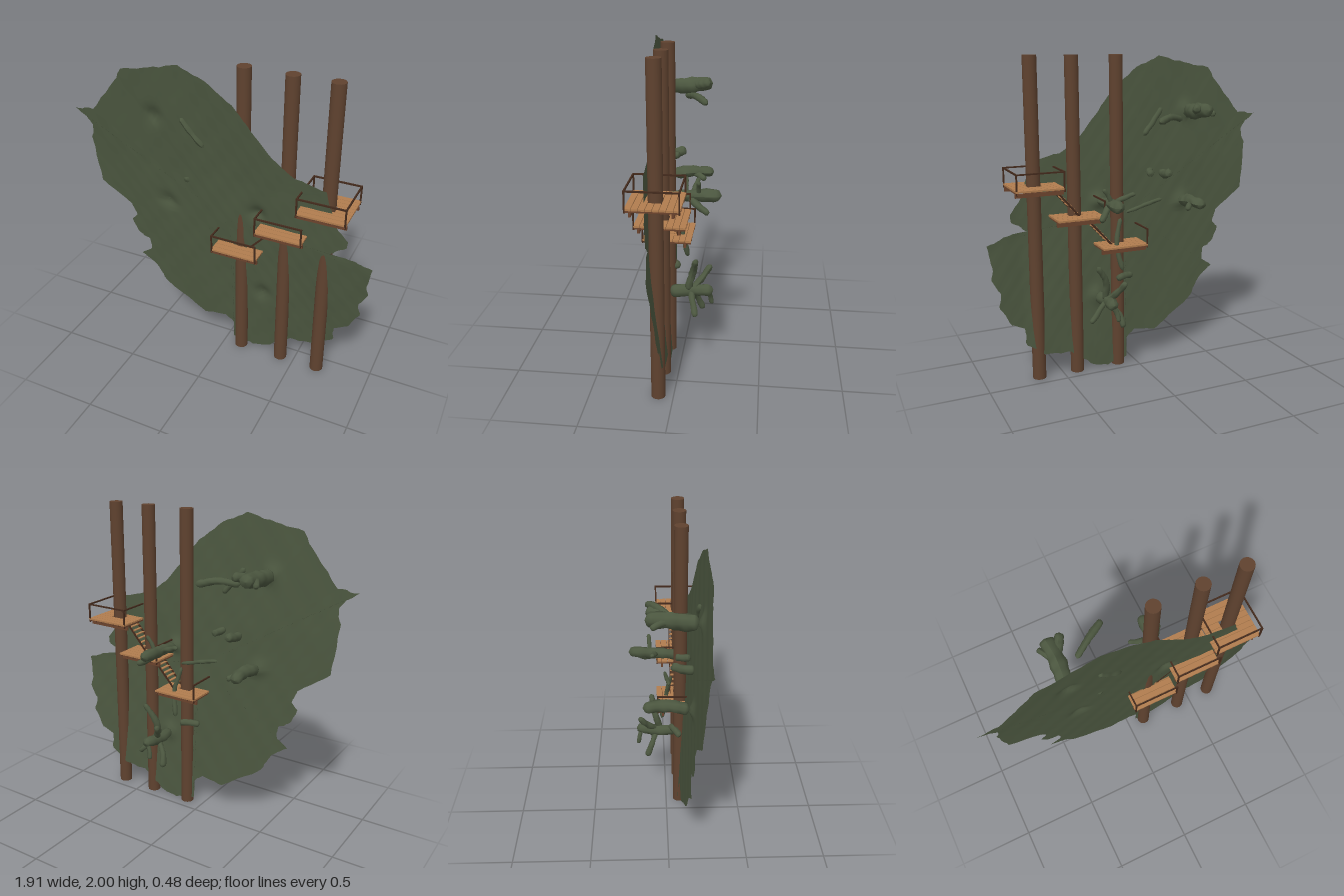
import * as THREE from 'three';

const mat = (name, color, side = THREE.FrontSide) => {
  const m = new THREE.MeshStandardMaterial({ color, side });
  m.name = name;
  return m;
};
const moss = mat('moss green', 0x4b563f, THREE.DoubleSide);
const bark = mat('trunk brown', 0x5f422f);
const plank = mat('plank tan', 0xb07c4e);
const beam = mat('beam brown', 0x6b432d);
const rail = mat('rail dark brown', 0x432a1c);

const noise = (x, y, z = 0) =>
  (Math.sin(x * 13.1 + y * 7.3 + z * 5) + Math.sin(x * 29.7 - y * 23.9 + z * 17) * 0.6 +
    Math.sin(x * 61 + y * 47 - z * 41) * 0.35) / 2;

// Main corners of the ground sheet, clockwise from the top, in hundredths (x, y)
const OUTLINE = [
  -23, 199, -7, 192, 9, 180, 20, 166, 33, 151, 47, 141, 66, 137, 71, 118, 80, 106, 79, 101,
  70, 95, 85, 93, 95.5, 89, 93, 76, 94, 68, 89, 60, 90, 50, 83, 38.5, 75, 35, 74, 24,
  62, 16, 46, 15, 32, 4, 20, 0.5, 6, 4, 9, 14, 0, 21.5, -15, 19, -43, 38, -50, 50,
  -60, 57, -53, 61, -53, 70, -60, 74, -65, 84, -61, 88, -64, 96, -84, 110, -87, 139, -85, 150,
  -89, 156, -96, 160, -83, 161, -65, 183, -60, 191, -42, 194.5,
];

// Stumps on the back of the sheet: x, y, tip z, radius
const STUMPS = [
  [-0.42, 1.64, -0.13, 0.045], [-0.37, 1.05, -0.15, 0.038], [0.23, 1.1, -0.24, 0.034], [0.26, 0.49, -0.2, 0.035],
];

// Boughs: stump number, z where it leaves the stump, tip x, y, z, radius
const BOUGHS = [
  [0, 0, -0.33, 1.68, -0.12, 0.025], [0, 0, -0.47, 1.63, -0.1, 0.02], [1, 0, -0.29, 1.04, -0.1, 0.018],
  [2, -0.04, 0.33, 1.04, -0.17, 0.02], [2, -0.06, 0.07, 1.17, -0.09, 0.015], [2, -0.1, 0.29, 1.22, -0.11, 0.014],
  [3, -0.06, 0.17, 0.33, -0.13, 0.02], [3, -0.06, 0.38, 0.38, -0.1, 0.017], [3, -0.17, 0.23, 0.4, -0.19, 0.016],
  [3, -0.04, 0.33, 0.74, -0.1, 0.021], [3, -0.06, 0.17, 0.64, -0.18, 0.02],
];

// Loose logs: both ends and radius
const LOGS = [
  [-0.3, 1.6, 0.03, -0.08, 1.6, -0.12, 0.022], [-0.24, 1.66, 0.185, -0.1, 1.49, 0.165, 0.017],
  [-0.16, 1.1, 0.01, 0.1, 1.04, -0.01, 0.012], [-0.13, 1.27, 0.14, -0.1, 1.26, 0.05, 0.023],
  [-0.23, 1.24, 0.16, -0.22, 1.26, 0.02, 0.027], [0.12, 1.0, 0.03, 0.13, 0.67, -0.03, 0.015],
  [0.02, 0.6, 0.09, 0.14, 0.6, 0.03, 0.023],
];

// Depth of the sheet, which puckers at the stump bases
function sheetZ(x, y) {
  const right = Math.max(0, x - 0.12);
  const dy = y - (1.08 - 0.27 * right);
  let z = 0.132 + dy * (dy < 0 ? 0.054 + 0.09 * right : 0.054);
  z += 0.035 * Math.max(0, 0.12 - x) + 0.03 * Math.max(0, y - 1.3) - 0.15 * Math.max(0, x - 0.74);
  for (const [sx, sy] of STUMPS) z -= 0.03 * Math.exp(-((x - sx) ** 2 + (y - sy) ** 2) / 0.002);
  return z + 0.003 * noise(x, y);
}

function groundSheet() {
  const n = OUTLINE.length / 2, sub = 5, rings = 36, cx = 0.05, cy = 1.0;
  const edge = [];
  for (let i = 0; i < n; i++) {
    const j = (i + 1) % n;
    for (let k = 0; k < sub; k++) {
      const t = k / sub, ragged = k ? 0.008 : 0;
      const x = THREE.MathUtils.lerp(OUTLINE[2 * i], OUTLINE[2 * j], t) / 100;
      const y = THREE.MathUtils.lerp(OUTLINE[2 * i + 1], OUTLINE[2 * j + 1], t) / 100;
      edge.push([x + ragged * noise(y * 3, x * 3), y + ragged * noise(x * 3, y * 3)]);
    }
  }
  const pos = [], idx = [], m = edge.length;
  for (let r = 0; r <= rings; r++) {
    for (const [ex, ey] of edge) {
      const x = cx + (ex - cx) * r / rings, y = cy + (ey - cy) * r / rings;
      pos.push(x, y, sheetZ(x, y));
    }
  }
  for (let r = 0; r < rings; r++) {
    for (let i = 0; i < m; i++) {
      const j = (i + 1) % m, a = r * m + i, b = r * m + j, c = a + m, d = b + m;
      idx.push(a, d, c);
      if (r) idx.push(a, b, d);
    }
  }
  const g = new THREE.BufferGeometry();
  g.setAttribute('position', new THREE.Float32BufferAttribute(pos, 3));
  g.setIndex(idx);
  g.computeVertexNormals();
  return g;
}

// Knobbly, slightly bent closed limb between two points
function limb(ax, ay, az, bx, by, bz, radius) {
  const a = new THREE.Vector3(ax, ay, az), b = new THREE.Vector3(bx, by, bz);
  const mid = a.clone().lerp(b, 0.5);
  const bend = 0.12 * a.distanceTo(b);
  mid.x += bend * noise(bx * 5, by * 5);
  mid.y += bend * noise(by * 5, bx * 5);
  const curve = new THREE.CatmullRomCurve3([a, mid, b]);
  const segs = 22, sides = 9;
  const g = new THREE.TubeGeometry(curve, segs, 1, sides);
  const p = g.attributes.position, v = new THREE.Vector3();
  for (let i = 0; i <= segs; i++) {
    const t = i / segs, c = curve.getPointAt(t);
    const end = Math.sqrt(Math.max(0, 1 - Math.abs(2 * t - 1) ** 10));
    for (let j = 0; j <= sides; j++) {
      const k = i * (sides + 1) + j;
      v.fromBufferAttribute(p, k).sub(c);
      const bump = 1 + 0.3 * noise(c.x * 2 + v.x * 0.1, c.y * 2 + v.y * 0.1, c.z * 2 + v.z * 0.1);
      v.multiplyScalar(radius * end * bump).add(c);
      p.setXYZ(k, v.x, v.y, v.z);
    }
  }
  g.computeVertexNormals();
  return g;
}

function box(parent, name, material, [x0, x1], [y0, y1], [z0, z1]) {
  const m = new THREE.Mesh(new THREE.BoxGeometry(x1 - x0, y1 - y0, z1 - z0), material);
  m.position.set((x0 + x1) / 2, (y0 + y1) / 2, (z0 + z1) / 2);
  m.name = name;
  parent.add(m);
}

const Z0 = -0.06, Z1 = 0.24;

// Deck with a hole for the trunk, joists, beams and railing
function platform(x0, x1, y, postX, fullRail) {
  const g = new THREE.Group();
  g.name = 'platform';
  const rows = 8, pitch = (Z1 - Z0) / rows, top = y + 0.045;
  for (let i = 0; i < rows; i++) {
    const z = [Z0 + i * pitch, Z0 + (i + 1) * pitch - 0.003];
    const spans = i === 3 || i === 4 ? [[x0, postX - 0.045], [postX + 0.045, x1]] : [[x0, x1]];
    for (const s of spans) box(g, 'deckPlank', plank, s, [top - 0.011, top], z);
  }
  for (let i = 0; i < 7; i++) {
    const x = x0 + 0.004 + i * (x1 - x0 - 0.016) / 6;
    if (Math.abs(x - postX) > 0.04) box(g, 'joist', beam, [x, x + 0.008], [top - 0.022, top - 0.011], [Z0, Z1]);
  }
  for (const z of [-0.03, 0.2]) box(g, 'crossBeam', beam, [x0, x1], [y, y + 0.023], [z, z + 0.014]);
  const t = 0.009, h = y + 0.145;
  const corners = [[x0, Z1 - t], [x1 - t, Z1 - t], [x0, Z0]];
  if (fullRail) corners.push([x1 - t, Z0]);
  for (const [x, z] of corners) box(g, 'railPost', rail, [x, x + t], [y + 0.02, h], [z, z + t]);
  box(g, 'frontRail', rail, [x0, x1], [h - t, h], [Z1 - t, Z1]);
  box(g, 'sideRail', rail, [x0, x0 + t], [h - t, h], [Z0, Z1]);
  if (fullRail) {
    box(g, 'sideRail', rail, [x1 - t, x1], [h - t, h], [Z0, Z1]);
    box(g, 'backRail', rail, [x0, x1], [h - t, h], [Z0, Z0 + t]);
  }
  return g;
}

// Flight of open treads between two stringers
function stairs(xa, ya, xb, yb) {
  const g = new THREE.Group();
  g.name = 'stairs';
  const steps = 9, za = 0.03, zb = 0.12;
  for (let i = 0; i < steps; i++) {
    const t = (i + 0.5) / steps;
    const x = THREE.MathUtils.lerp(xa, xb, t), y = THREE.MathUtils.lerp(ya, yb, t);
    box(g, 'tread', plank, [x - 0.009, x + 0.009], [y, y + 0.005], [za, zb]);
  }
  for (const z of [za, zb]) {
    const s = new THREE.Mesh(new THREE.BoxGeometry(Math.hypot(xb - xa, yb - ya), 0.012, 0.006), rail);
    s.position.set((xa + xb) / 2, (ya + yb) / 2, z);
    s.rotation.z = Math.atan2(yb - ya, xb - xa);
    s.name = 'stringer';
    g.add(s);
  }
  return g;
}

export function createModel() {
  const model = new THREE.Group();
  const add = (name, geometry, material) => {
    const m = new THREE.Mesh(geometry, material);
    m.name = name;
    model.add(m);
    return m;
  };
  add('groundSheet', groundSheet(), moss);
  for (const [x, y, z, r] of STUMPS) add('stump', limb(x, y, sheetZ(x, y) + 0.005, x, y + 0.02, z, r), moss);
  for (const [s, z, ...tip] of BOUGHS) add('bough', limb(STUMPS[s][0], STUMPS[s][1] + 0.01, z, ...tip), moss);
  for (const log of LOGS) add('log', limb(...log), moss);
  // Tall trunks
  for (const x of [0.12, 0.405, 0.66])
    add('trunk', new THREE.CylinderGeometry(0.042, 0.042, 2, 24), bark).position.set(x, 1, 0.09);
  model.add(
    platform(-0.03, 0.27, 0.79, 0.12, false),
    platform(0.255, 0.555, 0.993, 0.405, false),
    platform(0.508, 0.806, 1.192, 0.66, true),
    stairs(0.17, 0.82, 0.36, 1.03),
    stairs(0.38, 1.02, 0.56, 1.23),
  );
  return model;
}
